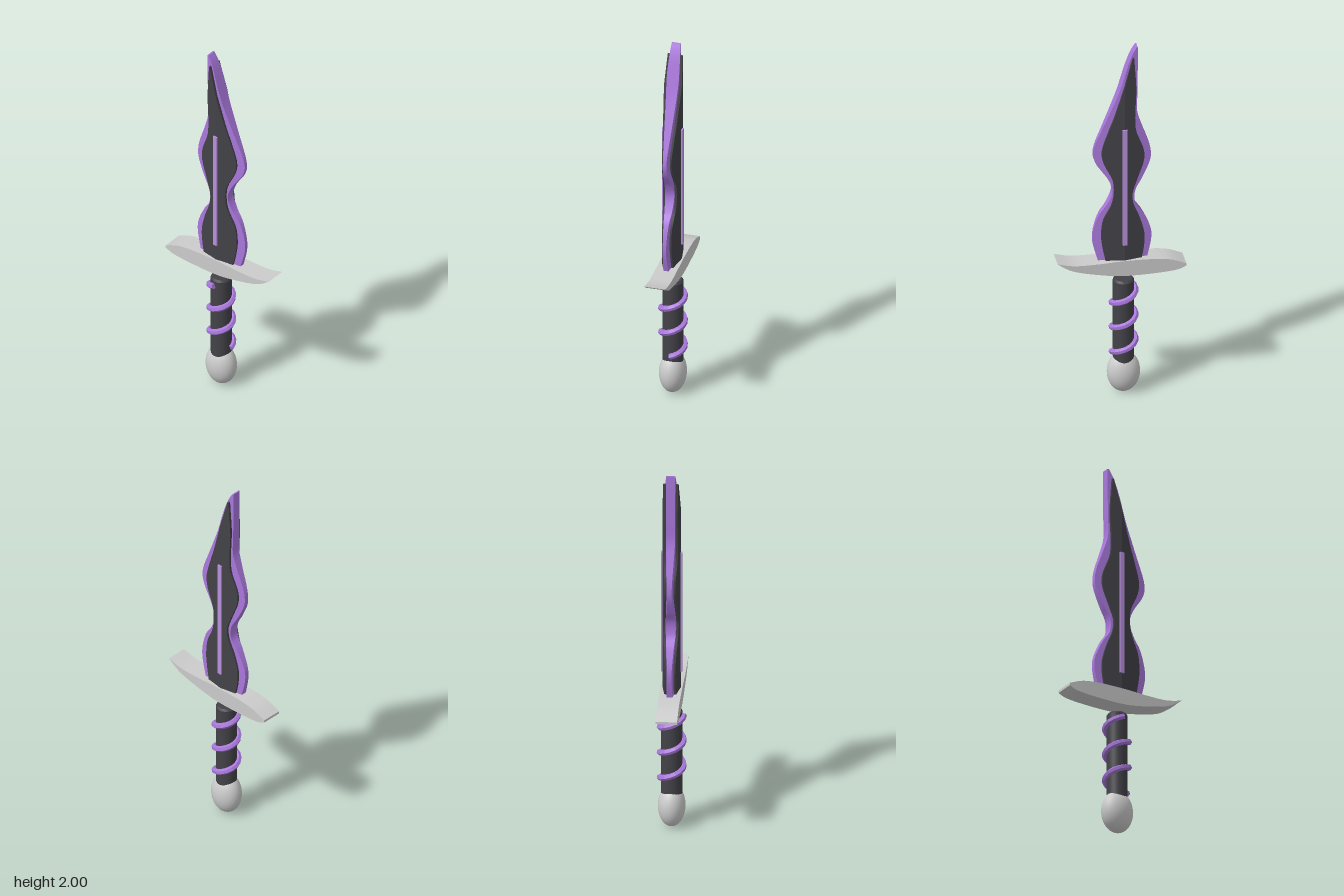
import * as THREE from 'three';
import { toCreasedNormals } from 'three/addons/utils/BufferGeometryUtils.js';

const AXIS = -0.02; // x of the dagger's long axis
const DARK = 0x424248, PURPLE = 0xaa78dd, LILAC = 0xb890de, GREY = 0xcccccc;

function part(name, geometry, color, flatShading = false) {
  const mesh = new THREE.Mesh(geometry, new THREE.MeshStandardMaterial({ color, flatShading }));
  mesh.name = name;
  return mesh;
}

// Blade solid with a hexagonal section: thickest on the axis, thinning towards both edges.
// Rows run from tip to base as [left x, y, right x].
function bladeGeometry(rows, centreThickness, taper) {
  const curve = new THREE.CatmullRomCurve3(rows.map(r => new THREE.Vector3(...r)));
  const samples = curve.getPoints(rows.length * 4);
  const thickness = x => centreThickness - taper * Math.abs(x - AXIS);
  const positions = [], index = [];
  for (const { x: left, y, z: right } of samples) {
    const ridge = Math.min(AXIS, right - 0.002);
    for (const x of [left, ridge, right]) positions.push(x, y, thickness(x));
    for (const x of [right, ridge, left]) positions.push(x, y, -thickness(x));
  }
  const last = (samples.length - 1) * 6;
  for (let i = 0; i < last; i += 6) {
    for (let j = 0; j < 6; j++) {
      const k = (j + 1) % 6;
      index.push(i + j, i + 6 + j, i + k, i + k, i + 6 + j, i + 6 + k);
    }
  }
  for (let j = 1; j < 5; j++) {
    index.push(0, j, j + 1, last, last + j + 1, last + j);
  }
  const geometry = new THREE.BufferGeometry();
  geometry.setAttribute('position', new THREE.Float32BufferAttribute(positions, 3));
  geometry.setIndex(index);
  return toCreasedNormals(geometry, 0.25);
}

function createBlade() {
  const blade = new THREE.Group();
  blade.name = 'blade';
  const edge = bladeGeometry([
    [-0.09, 2.0, -0.083], [-0.09, 1.97, -0.066], [-0.09, 1.92, -0.045], [-0.088, 1.74, 0.01],
    [-0.087, 1.63, 0.053], [-0.113, 1.54, 0.09], [-0.148, 1.44, 0.13], [-0.158, 1.39, 0.138],
    [-0.156, 1.34, 0.125], [-0.113, 1.24, 0.06], [-0.076, 1.17, 0.04], [-0.076, 1.1, 0.067],
    [-0.113, 1.04, 0.108], [-0.157, 0.94, 0.138], [-0.161, 0.88, 0.139], [-0.138, 0.77, 0.112],
  ], 0.033, 0.15);
  const core = bladeGeometry([
    [-0.069, 1.945, -0.062], [-0.072, 1.9, -0.05], [-0.08, 1.76, -0.012], [-0.074, 1.6, 0.035],
    [-0.08, 1.52, 0.063], [-0.12, 1.405, 0.095], [-0.121, 1.345, 0.087], [-0.085, 1.24, 0.04],
    [-0.06, 1.16, 0.035], [-0.066, 1.1, 0.047], [-0.1, 1.01, 0.088], [-0.123, 0.915, 0.098],
    [-0.12, 0.84, 0.089], [-0.107, 0.77, 0.075],
  ], 0.047, 0.19);
  const inlay = part('bladeInlay', new THREE.BoxGeometry(0.024, 0.67, 0.108), LILAC);
  inlay.position.set(AXIS, 1.205, 0);
  blade.add(part('bladeEdge', edge, PURPLE), part('bladeCore', core, DARK), inlay);
  return blade;
}

// Swept crossguard: curved outline with one end turned up
function createGuard() {
  const v = (x, y) => new THREE.Vector2(x, y);
  const shape = new THREE.Shape();
  shape.moveTo(-0.333, 0.722);
  shape.splineThru([v(-0.28, 0.703), v(-0.15, 0.694), v(0, 0.695), v(0.125, 0.715), v(0.25, 0.748), v(0.328, 0.797)]);
  shape.splineThru([v(0.24, 0.777), v(0.125, 0.775), v(0, 0.78), v(-0.14, 0.779), v(-0.25, 0.767), v(-0.333, 0.735)]);
  const geometry = new THREE.ExtrudeGeometry(shape, { depth: 0.11, bevelEnabled: false, curveSegments: 5 });
  geometry.translate(0, 0, -0.055);
  return part('crossguard', toCreasedNormals(geometry, 0.5), GREY);
}

function createGrip() {
  const profile = [[0, 0.18], [0.054, 0.18], [0.054, 0.645], [0.046, 0.656], [0, 0.656]]
    .map(p => new THREE.Vector2(...p));
  const grip = part('grip', toCreasedNormals(new THREE.LatheGeometry(profile, 32), 0.5), DARK);
  grip.position.x = AXIS;
  return grip;
}

// Cord winding up the grip, with closed ends
function createWrap() {
  const wrap = new THREE.Group();
  wrap.name = 'gripWrap';
  const turns = 2.75, radius = 0.061, cord = 0.016;
  const helix = new THREE.Curve();
  helix.getPoint = (t, target = new THREE.Vector3()) => {
    const a = t * turns * Math.PI * 2;
    return target.set(AXIS + radius * Math.cos(a), 0.232 + t * 0.39, -radius * Math.sin(a));
  };
  wrap.add(part('wrapCord', new THREE.TubeGeometry(helix, 44, cord, 6), PURPLE, true));
  for (const t of [0, 1]) {
    const cap = part('wrapEnd', new THREE.CircleGeometry(cord, 6), PURPLE);
    const point = helix.getPointAt(t);
    cap.position.copy(point);
    cap.lookAt(point.clone().addScaledVector(helix.getTangentAt(t), t ? 1 : -1));
    wrap.add(cap);
  }
  return wrap;
}

function createPommel() {
  const pommel = part('pommel', new THREE.SphereGeometry(1, 32, 24), GREY);
  pommel.scale.set(0.085, 0.113, 0.07);
  pommel.position.set(AXIS, 0.113, 0);
  return pommel;
}

export function createModel() {
  const dagger = new THREE.Group();
  dagger.name = 'dagger';
  dagger.add(createBlade(), createGuard(), createGrip(), createWrap(), createPommel());
  return dagger;
}
